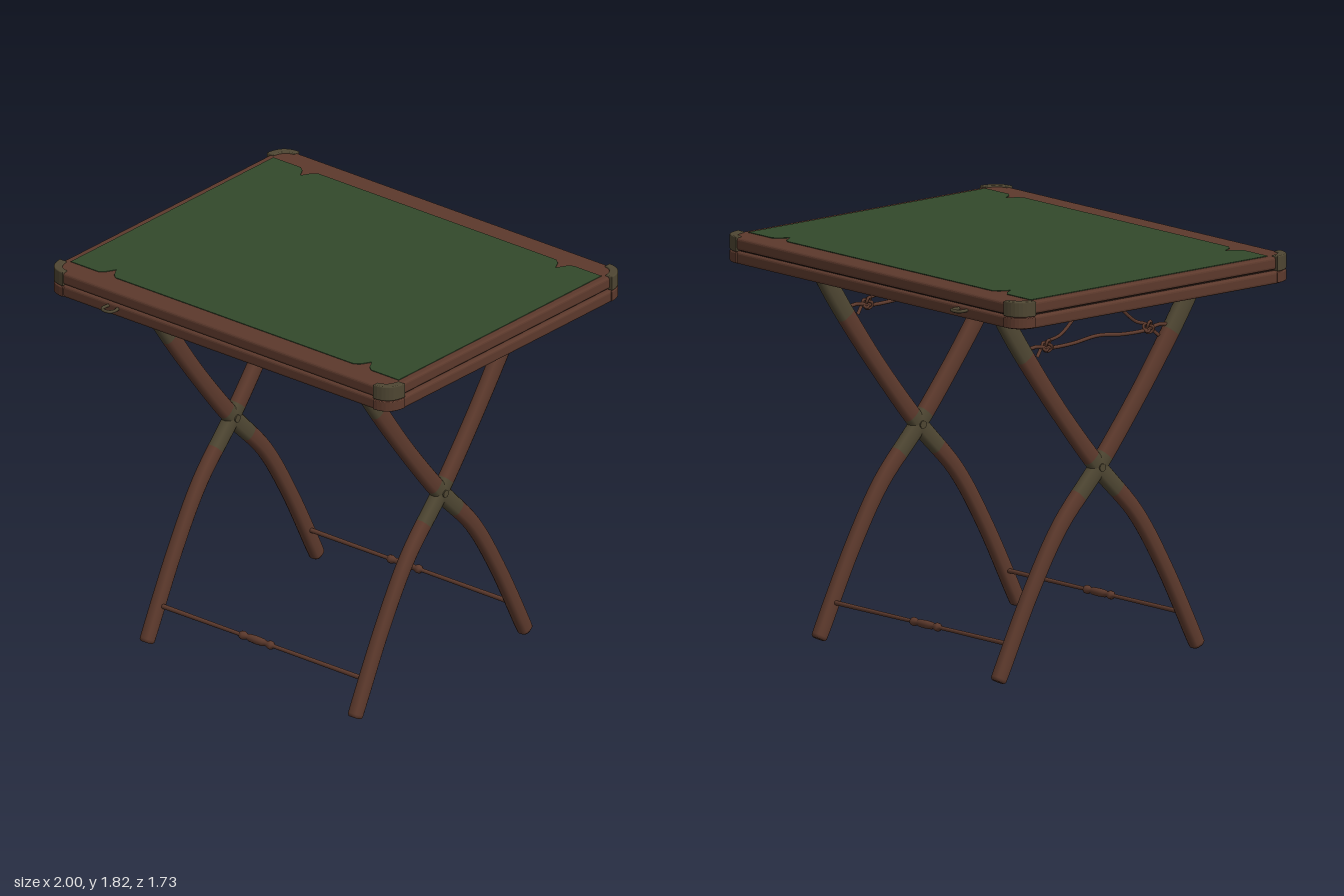
import * as THREE from 'three';

const mat = (name, color) => {
  const m = new THREE.MeshStandardMaterial({ color });
  m.name = name;
  return m;
};

export function createModel() {
  const wood = mat('brown wood', 0x5c392c);
  const metal = mat('olive metal', 0x4e4632);
  const felt = mat('green felt', 0x32492b);
  const under = mat('dark underside', 0x40372c);
  const dark = mat('dark seam', 0x2a1c16);

  const group = new THREE.Group();
  const add = (name, geo, material, parent = group) => {
    const m = new THREE.Mesh(geo, material);
    m.name = name;
    parent.add(m);
    return m;
  };

  // Outline of a rectangle with rounded corners
  const roundRect = (w, d, r, Type = THREE.Shape) => {
    const s = new Type();
    s.moveTo(w - r, -d);
    s.absarc(w - r, -d + r, r, -Math.PI / 2, 0);
    s.absarc(w - r, d - r, r, 0, Math.PI / 2);
    s.absarc(-w + r, d - r, r, Math.PI / 2, Math.PI);
    s.absarc(-w + r, -d + r, r, Math.PI, Math.PI * 1.5);
    return s;
  };
  // Horizontal plate between two heights, with an optional bevel
  const plate = (shape, y0, y1, bevel = 0) => {
    const g = new THREE.ExtrudeGeometry(shape, {
      depth: y1 - y0 - 2 * bevel, curveSegments: 8, bevelEnabled: bevel > 0,
      bevelSize: bevel, bevelThickness: bevel, bevelOffset: -bevel, bevelSegments: 3,
    });
    g.rotateX(-Math.PI / 2);
    g.translate(0, y0 + bevel, 0);
    return g;
  };

  // Table top: upper slab, seam, lower rim and recessed underside
  add('topSlab', plate(roundRect(0.985, 0.81, 0.09), 1.768, 1.825, 0.012), wood);
  add('seam', plate(roundRect(0.97, 0.79, 0.08), 1.735, 1.78), dark);
  const rim = roundRect(0.995, 0.808, 0.09);
  rim.holes.push(roundRect(0.93, 0.74, 0.05, THREE.Path));
  add('lowerRim', plate(rim, 1.705, 1.762, 0.012), wood);
  add('undersidePanel', plate(roundRect(0.94, 0.75, 0.05), 1.722, 1.734), under);

  // Felt with a small pointed notch near each corner
  const outline = [];
  const edge = [[-0.95, 0.7], [-0.79, 0.7], [-0.765, 0.68], [-0.74, 0.635], [-0.715, 0.68], [-0.69, 0.7],
    [0.69, 0.7], [0.715, 0.68], [0.74, 0.635], [0.765, 0.68], [0.79, 0.7], [0.95, 0.7]];
  for (const s of [1, -1]) for (const [x, y] of edge) outline.push(new THREE.Vector2(x * s, y * s));
  add('feltSurface', plate(new THREE.Shape(outline), 1.822, 1.828), felt);

  // Metal corner guards, with wooden swellings on the lower rim
  for (const sx of [1, -1]) for (const sz of [1, -1]) {
    const s = new THREE.Shape();
    s.moveTo(sx, sz * 0.715);
    s.quadraticCurveTo(sx * 0.995, sz * 0.815, sx * 0.9, sz * 0.817);
    s.lineTo(sx * 0.9, sz * 0.785);
    s.quadraticCurveTo(sx * 0.955, sz * 0.78, sx * 0.962, sz * 0.715);
    add('cornerGuard', plate(s, 1.762, 1.832, 0.005), metal);
    add('lowerCorner', plate(s, 1.71, 1.758, 0.004), wood);
  }

  // Flat loops on the long edges
  for (const sz of [1, -1]) {
    const pts = [[-0.025, 0.79], [-0.03, 0.84], [-0.018, 0.857], [0.018, 0.857], [0.03, 0.84], [0.025, 0.79]]
      .map(([x, z]) => new THREE.Vector3(-0.615 + x, 1.745, z * sz));
    add('edgeLoop', new THREE.TubeGeometry(new THREE.CatmullRomCurve3(pts), 24, 0.008, 6), metal);
  }

  // Curved leg: z, y, half width; swept with a softened oval section
  const legPath = [[0.59, 0.02, 0.034], [0.565, 0.07, 0.036], [0.39, 0.41, 0.036], [0.22, 0.68, 0.038],
    [0, 0.915, 0.042], [-0.24, 1.21, 0.041], [-0.43, 1.47, 0.045], [-0.53, 1.62, 0.046], [-0.595, 1.728, 0.044]];
  const legCurve = new THREE.CatmullRomCurve3(legPath.map(([z, y, w]) => new THREE.Vector3(w, y, z)));
  const legGeometry = () => {
    const N = 48, S = 14, pos = [], idx = [], g = new THREE.BufferGeometry();
    for (let i = 0; i <= N; i++) {
      const p = legCurve.getPoint(i / N), t = legCurve.getTangent(i / N);
      const len = Math.hypot(t.y, t.z);
      const end = i === 0 || i === N ? 0.8 : 1;
      for (let j = 0; j < S; j++) {
        const a = (j / S) * Math.PI * 2, c = Math.cos(a), s = Math.sin(a);
        const u = Math.sign(c) * Math.abs(c) ** 0.75 * 0.031 * end;
        const v = Math.sign(s) * Math.abs(s) ** 0.75 * p.x * end;
        pos.push(u, p.y + v * t.z / len, p.z - v * t.y / len);
      }
    }
    for (let i = 0; i < N; i++) {
      const y = legCurve.getPoint((i + 0.5) / N).y;
      g.addGroup(idx.length, S * 6, y > 1.47 || (y > 0.81 && y < 0.98) ? 1 : 0);
      for (let j = 0; j < S; j++) {
        const a = i * S + j, b = i * S + (j + 1) % S;
        idx.push(a, a + S, b, b, a + S, b + S);
      }
    }
    // End caps
    g.addGroup(idx.length, (S - 2) * 6, 0);
    for (let j = 1; j < S - 1; j++) idx.push(0, j, j + 1, N * S, N * S + j + 1, N * S + j);
    g.setAttribute('position', new THREE.Float32BufferAttribute(pos, 3));
    // Orient every face outward using the signed volume
    let vol = 0;
    const P = (k) => new THREE.Vector3().fromArray(pos, k * 3);
    for (let k = 0; k < N * S * 6; k += 3) vol += P(idx[k]).dot(P(idx[k + 1]).cross(P(idx[k + 2])));
    if (vol < 0) {
      for (let k = 0; k < idx.length; k += 3) [idx[k], idx[k + 1]] = [idx[k + 1], idx[k]];
    }
    g.setIndex(idx);
    g.computeVertexNormals();
    return g;
  };
  const leg = legGeometry();

  // Cord through z, y points
  const cord = (name, pts, r, parent) => {
    const c = new THREE.CatmullRomCurve3(pts.map(([z, y, x = 0]) => new THREE.Vector3(x, y, z)));
    add(name, new THREE.TubeGeometry(c, 40, r, 7), wood, parent);
  };

  // A crossed pair of legs and a tied cord at each end
  for (const side of [1, -1]) {
    const pair = new THREE.Group();
    pair.name = side > 0 ? 'leftTrestle' : 'rightTrestle';
    pair.position.x = 0.603 * side;
    group.add(pair);
    for (const turn of [0, Math.PI]) add('leg', leg, [wood, metal], pair).rotation.y = turn;
    const pivot = add('pivot', new THREE.CylinderGeometry(0.018, 0.018, 0.072, 12), metal, pair);
    pivot.rotation.z = Math.PI / 2;
    pivot.position.y = 0.915;

    cord('cord', [[0.43, 1.5], [0.36, 1.51], [0.29, 1.495], [0.15, 1.495], [0, 1.51],
      [-0.15, 1.495], [-0.29, 1.495], [-0.36, 1.51], [-0.43, 1.5]], 0.009, pair);
    for (const s of [1, -1]) {
      cord('looseCord', [[0.36 * s, 1.46], [0.3 * s, 1.515, 0.015], [0.22 * s, 1.545], [0.1 * s, 1.645]], 0.008, pair);
      const knot = add('knot', new THREE.TorusKnotGeometry(0.019, 0.007, 40, 6), wood, pair);
      knot.position.set(0, 1.505, 0.3 * s);
      knot.rotation.y = Math.PI / 2;
    }
  }

  // Turned stretcher bars, lathe profile along x
  const profile = [[0, -0.6], [0.011, -0.6], [0.009, -0.13], [0.018, -0.12], [0.02, -0.105], [0.012, -0.085],
    [0.017, -0.07], [0.019, -0.03], [0.017, 0.01], [0.012, 0.025], [0.02, 0.045], [0.018, 0.06],
    [0.009, 0.07], [0.011, 0.6], [0, 0.6]].map(([r, y]) => new THREE.Vector2(r, y));
  for (const sz of [1, -1]) {
    const bar = add('stretcher', new THREE.LatheGeometry(profile, 12), wood);
    bar.rotation.z = -Math.PI / 2;
    bar.position.set(0, 0.178, 0.512 * sz);
  }
  return group;
}
